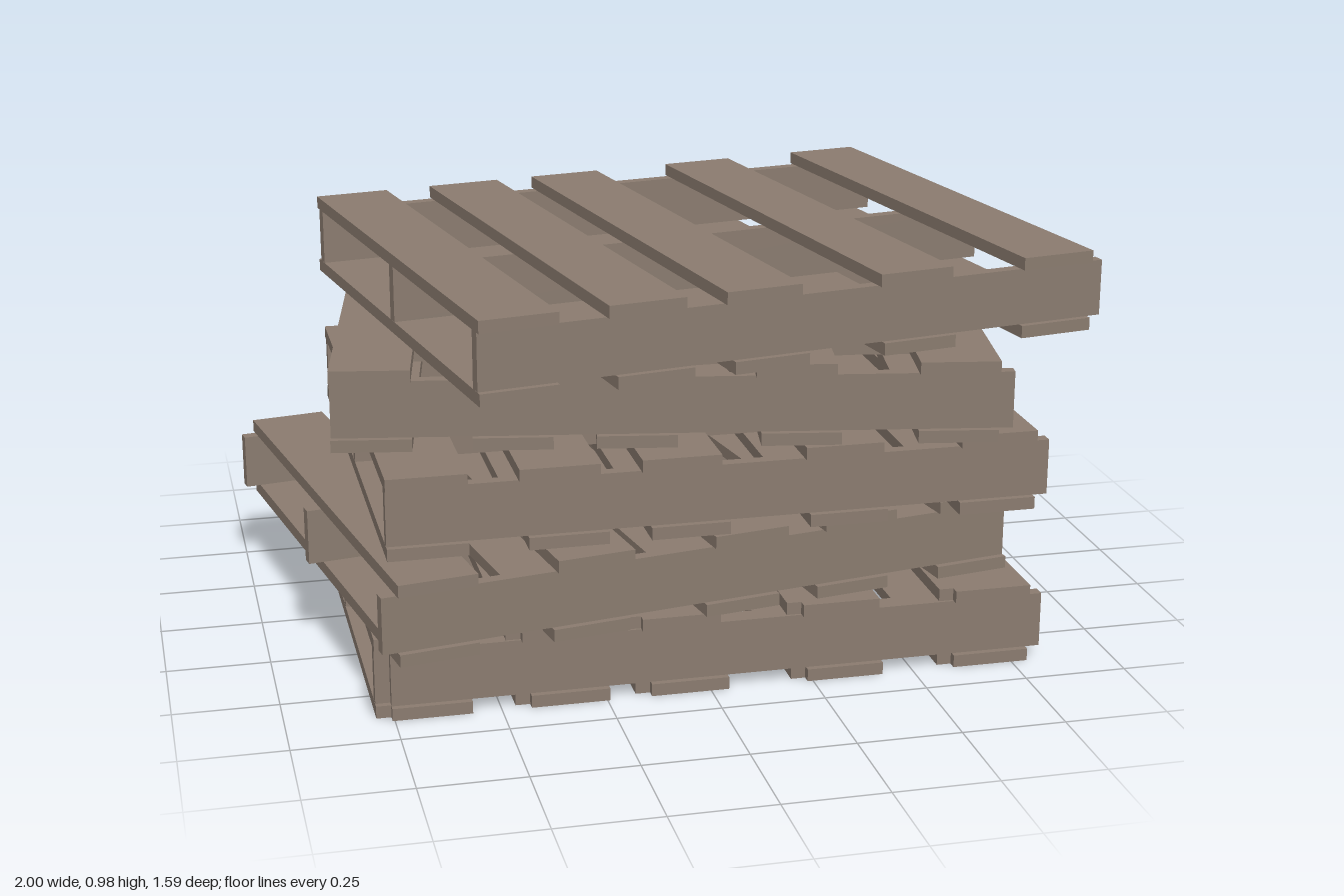
import * as THREE from 'three';

const HEIGHT = 0.196, BOARD = 0.03, SLAT_W = 0.187, SLAT_L = 1.255;
const STRINGER_L = 1.58, STRINGER_T = 0.03;

export function createModel() {
  const wood = new THREE.MeshStandardMaterial({ color: 0x8a7b6f });
  wood.name = 'weathered wood';

  const slat = new THREE.BoxGeometry(SLAT_W, BOARD, SLAT_L);
  const stringer = new THREE.BoxGeometry(STRINGER_L, HEIGHT - 2 * BOARD, STRINGER_T);

  const add = (group, name, geometry, x, y, z) => {
    const mesh = new THREE.Mesh(geometry, wood);
    mesh.name = name;
    mesh.position.set(x, y, z);
    group.add(mesh);
  };

  // One pallet: three stringers between unevenly spaced deck slats
  const makePallet = () => {
    const pallet = new THREE.Group();
    pallet.name = 'pallet';
    for (const z of [-0.597, 0, 0.597]) add(pallet, 'stringer', stringer, 0, HEIGHT / 2, z);
    for (const x of [-0.697, -0.392, -0.107, 0.282, 0.661])
      add(pallet, 'topSlat', slat, x, HEIGHT - BOARD / 2, 0);
    for (const x of [-0.697, -0.372, -0.085, 0.295, 0.661])
      add(pallet, 'bottomSlat', slat, x, BOARD / 2, 0);
    return pallet;
  };

  // Stack: level, x, z and turn in degrees (two nearly coincide on the floor)
  const stack = [
    [0, 0, 0, 0],
    [0, 0.035, 0.022, 0],
    [1, -0.117, 0.047, 190],
    [2, 0.035, 0.022, 0],
    [3, 0.035, -0.042, -10],
    [4, 0.112, 0.022, 10],
  ];
  const model = new THREE.Group();
  model.name = 'palletStack';
  for (const [level, x, z, turn] of stack) {
    const pallet = makePallet();
    pallet.position.set(x, level * HEIGHT, z);
    pallet.rotation.y = THREE.MathUtils.degToRad(turn);
    model.add(pallet);
  }
  return model;
}
